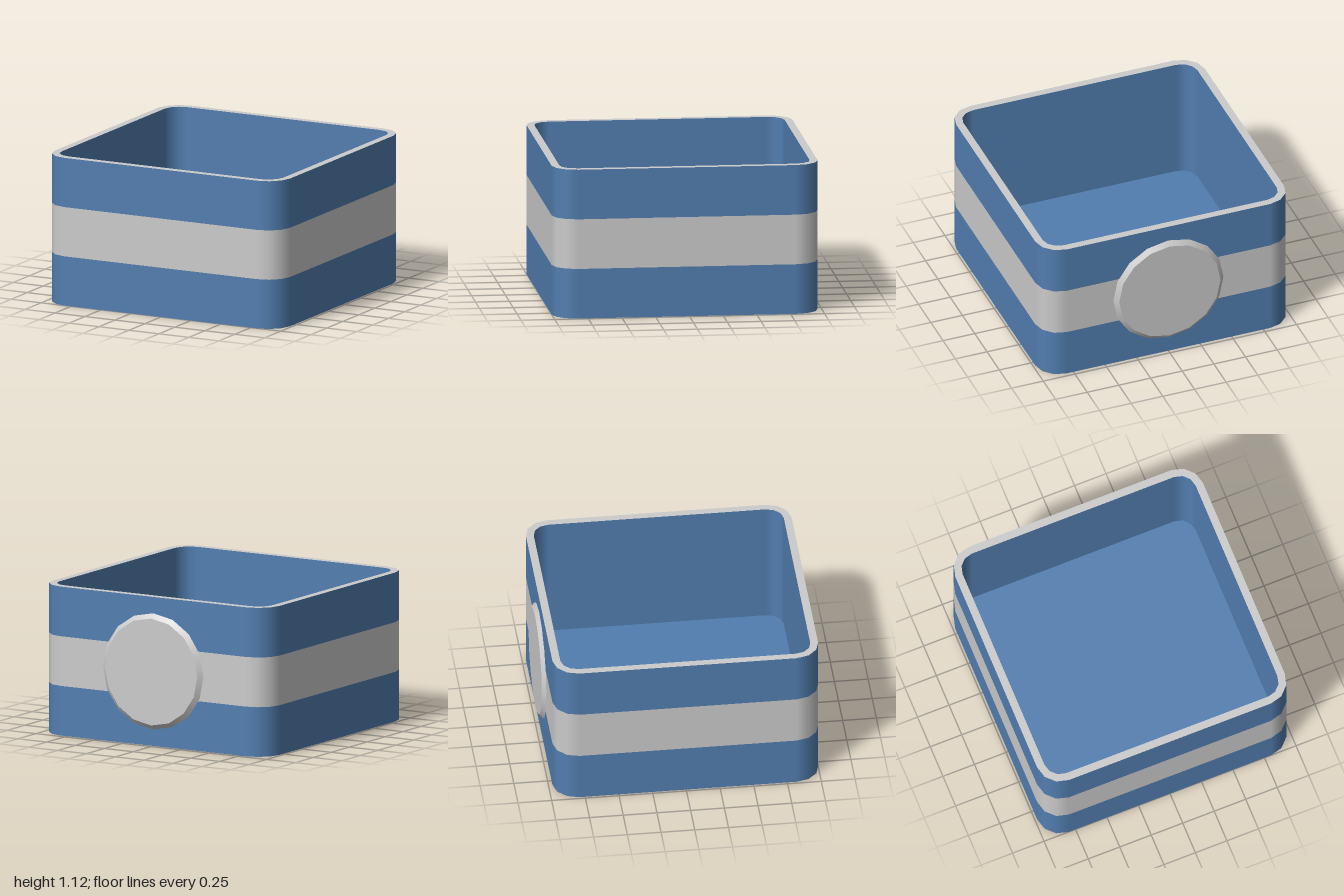
import * as THREE from 'three';

const HALF_X = 0.983, HALF_Z = 0.985, RADIUS = 0.18, WALL = 0.058;
const HEIGHT = 1.115, FLOOR_Y = 0.16, CORNER_STEPS = 3;

const blue = new THREE.MeshStandardMaterial({ color: 0x527eb0, side: THREE.DoubleSide });
const grey = new THREE.MeshStandardMaterial({ color: 0xcccccc, side: THREE.DoubleSide });

// Rounded rectangle outline, each point with its outward direction
function outline(inset) {
  const points = [];
  for (let corner = 0; corner < 4; corner++) {
    const mid = (corner + 0.5) * Math.PI / 2;
    const cx = Math.sign(Math.cos(mid)) * (HALF_X - RADIUS);
    const cz = Math.sign(Math.sin(mid)) * (HALF_Z - RADIUS);
    for (let i = 0; i <= CORNER_STEPS; i++) {
      const a = (corner + i / CORNER_STEPS) * Math.PI / 2;
      const nx = Math.cos(a), nz = Math.sin(a), r = RADIUS - inset;
      points.push({ x: cx + nx * r, z: cz + nz * r, nx, nz });
    }
  }
  return points;
}

// Upright band following the outline; facing is 1 for outward, -1 for inward
function wallBand(inset, y0, y1, facing) {
  const loop = outline(inset);
  const pos = [], nor = [], idx = [];
  const n = loop.length;
  loop.forEach((p, i) => {
    pos.push(p.x, y0, p.z, p.x, y1, p.z);
    for (let k = 0; k < 2; k++) nor.push(p.nx * facing, 0, p.nz * facing);
    const a = 2 * i, b = a + 1, c = 2 * ((i + 1) % n), d = c + 1;
    if (facing > 0) idx.push(a, b, c, b, d, c);
    else idx.push(a, c, b, b, c, d);
  });
  const g = new THREE.BufferGeometry();
  g.setAttribute('position', new THREE.Float32BufferAttribute(pos, 3));
  g.setAttribute('normal', new THREE.Float32BufferAttribute(nor, 3));
  g.setIndex(idx);
  return g;
}

// Horizontal sheet facing up, with an optional opening
function sheet(inset, holeInset, y) {
  const flat = (d) => outline(d).map((p) => new THREE.Vector2(p.x, p.z));
  const shape = new THREE.Shape(flat(inset));
  if (holeInset !== null) shape.holes.push(new THREE.Path(flat(holeInset)));
  return new THREE.ShapeGeometry(shape).rotateX(-Math.PI / 2).translate(0, y, 0);
}

export function createModel() {
  const group = new THREE.Group();
  group.name = 'openBox';
  const add = (name, geometry, material) => {
    const mesh = new THREE.Mesh(geometry, material);
    mesh.name = name;
    mesh.position.z = 0.015;
    group.add(mesh);
    return mesh;
  };

  // Three equal outer bands
  ['lowerBand', 'middleBand', 'upperBand'].forEach((name, i) => {
    add(name, wallBand(0, HEIGHT * i / 3, HEIGHT * (i + 1) / 3, 1), i === 1 ? grey : blue);
  });

  // Lining, raised floor and top rim
  add('innerWall', wallBand(WALL, FLOOR_Y, HEIGHT, -1), blue);
  add('floor', sheet(WALL, null, FLOOR_Y), blue);
  add('rim', sheet(0, WALL, HEIGHT), grey);

  // Bevelled round plate on the back
  const plate = new THREE.CylinderGeometry(0.4, 0.435, 0.03, 16).rotateX(-Math.PI / 2);
  add('backPlate', plate, grey).position.set(0, HEIGHT / 2, -0.985);

  return group;
}
